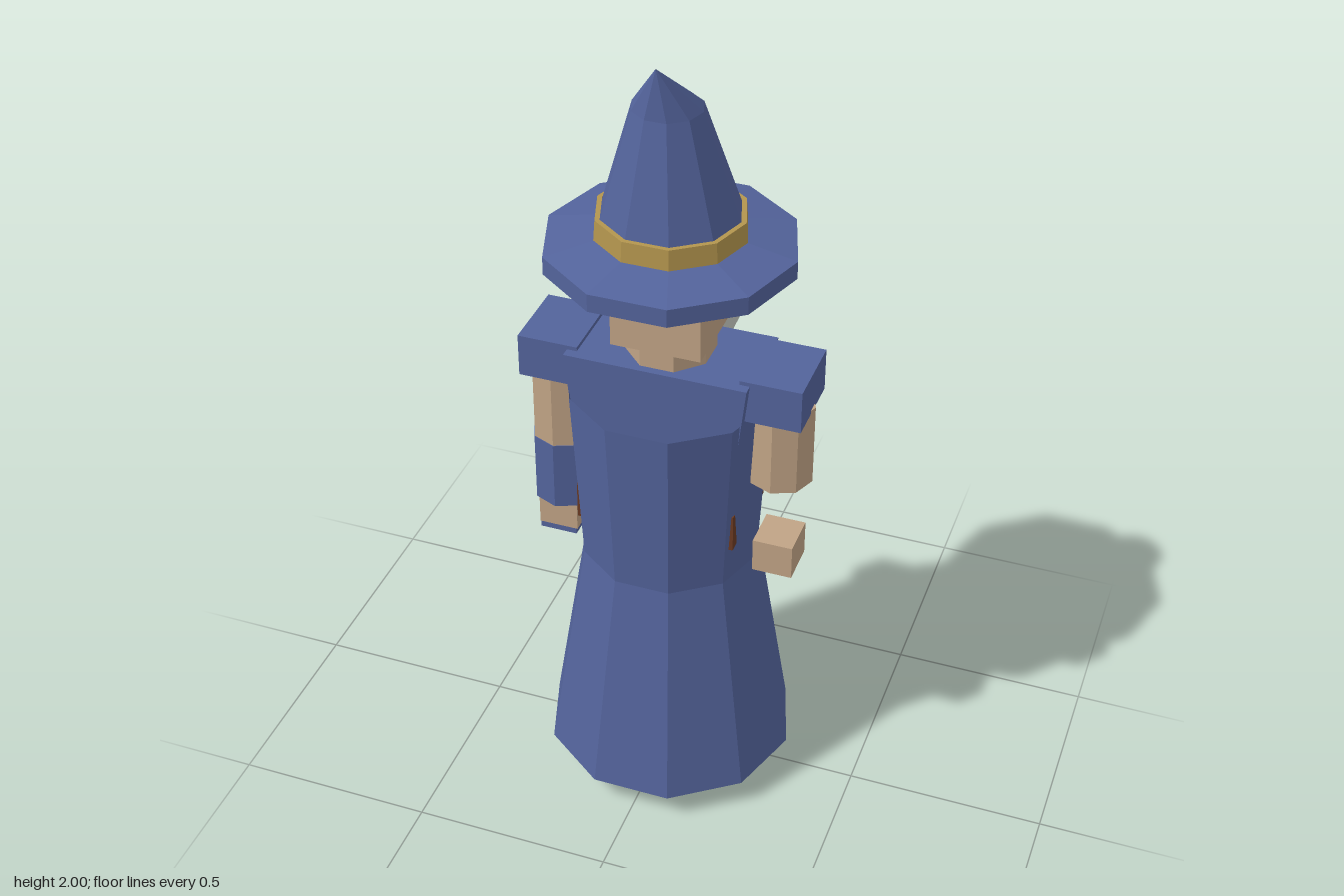
import * as THREE from 'three';

const paint = (name, color) => {
  const m = new THREE.MeshStandardMaterial({ color, flatShading: true, side: THREE.DoubleSide });
  m.name = name;
  return m;
};

// Open shell through rings of [y, radius, z offset], with corners on the x axis
function loft(rings, sides = 10) {
  const pos = [], idx = [];
  for (const [y, r, z = 0] of rings) {
    for (let i = 0; i < sides; i++) {
      const a = (i / sides) * Math.PI * 2;
      pos.push(Math.cos(a) * r, y, z - Math.sin(a) * r);
    }
  }
  for (let k = 0; k < rings.length - 1; k++) {
    for (let i = 0; i < sides; i++) {
      const a = k * sides + i, b = k * sides + (i + 1) % sides;
      idx.push(a, b, b + sides, a, b + sides, a + sides);
    }
  }
  return surface(pos, idx);
}

function surface(pos, idx) {
  const g = new THREE.BufferGeometry();
  g.setAttribute('position', new THREE.Float32BufferAttribute(pos, 3));
  g.setIndex(idx);
  const flat = g.toNonIndexed();
  flat.computeVertexNormals();
  return flat;
}

// Box given by its lower and upper corner
function box(x0, y0, z0, x1, y1, z1) {
  return new THREE.BoxGeometry(x1 - x0, y1 - y0, z1 - z0)
    .translate((x0 + x1) / 2, (y0 + y1) / 2, (z0 + z1) / 2);
}

// Upright eight-sided post
function post(x, r, y0, y1) {
  return new THREE.CylinderGeometry(r, r, y1 - y0, 8).translate(x, (y0 + y1) / 2, 0);
}

export function createModel() {
  const model = new THREE.Group();
  const blue = paint('blue cloth', 0x53639b);
  const skin = paint('skin', 0xc0a385);
  const gold = paint('gold', 0xb3954e);
  const grey = paint('grey hair', 0xced1c9);
  const brown = paint('brown leather', 0x6b3a22);
  const add = (name, geometry, material) => {
    const mesh = new THREE.Mesh(geometry, material);
    mesh.name = name;
    model.add(mesh);
    return mesh;
  };

  // Robe, open at hem and neck
  add('robe', loft([[0.07, 0.32], [0.67, 0.223], [1.14, 0.25]]), blue);

  // Tapered torso inside the robe, and its belt
  const torso = box(-0.225, 0.87, -0.12, 0.225, 1.24, 0.12);
  const p = torso.attributes.position;
  for (let i = 0; i < p.count; i++) if (p.getY(i) < 1) p.setX(i, p.getX(i) * 0.82);
  add('torso', torso, blue);
  add('belt', box(-0.2, 0.77, -0.12, 0.2, 0.87, 0.12), brown);
  add('collarPlate', box(-0.14, 1.02, -0.14, 0.14, 1.2, -0.115), gold);

  // Paired limbs
  for (const s of [-1, 1]) {
    const side = s > 0 ? 'left' : 'right';
    add(side + 'Leg', post(s * 0.132, 0.08, 0, 0.67), blue);
    add(side + 'UpperArm', post(s * 0.277, 0.08, 0.935, 1.15), skin);
    add(side + 'ShoulderPad', box(s * 0.275 - 0.075, 1.14, -0.095, s * 0.275 + 0.075, 1.25, 0.095), blue);
    add(side + 'Hand', box(s * 0.28 - 0.05, 0.67, -0.055, s * 0.28 + 0.05, 0.76, 0.055), skin);
  }

  // Only the right arm has a lower sleeve
  add('rightSleeve', post(-0.277, 0.082, 0.75, 0.935), blue);
  add('rightPalm', box(-0.33, 0.65, -0.05, -0.235, 0.67, 0.05), blue);

  // Head and neck
  add('neck', new THREE.CylinderGeometry(0.108, 0.108, 0.09, 8)
    .rotateY(Math.PI / 8).translate(0, 1.25, 0), skin);
  add('head', box(-0.11, 1.29, -0.11, 0.11, 1.51, 0.11), skin);

  // Eyebrow bar tucked under the brim
  const brow = add('eyebrows', new THREE.BoxGeometry(0.26, 0.05, 0.018), grey);
  brow.position.set(0, 1.485, -0.145);
  brow.rotation.x = 0.35;

  // Faceted beard: two top corners, two cheek corners, a chin ridge and a tip
  add('beard', surface([
    0.115, 1.385, -0.115, -0.115, 1.385, -0.115,
    0.115, 1.255, -0.212, -0.115, 1.255, -0.212,
    0, 1.235, -0.27, 0, 0.97, -0.235,
  ], [0, 4, 1, 0, 2, 4, 1, 4, 3, 2, 5, 4, 3, 4, 5, 0, 5, 2, 1, 3, 5, 0, 1, 5]), grey);

  // Hat: open brim, band and a crown that bends to its tip
  add('hatBrim', loft([[1.49, 0.3], [1.535, 0.3], [1.56, 0.178]]), blue);
  add('hatBand', loft([[1.555, 0.182], [1.61, 0.178], [1.61, 0.166]]), gold);
  add('hatCrown', loft([[1.6, 0.168], [1.88, 0.083, 0.023], [2, 0.002, 0.095]]), blue);

  return model;
}
